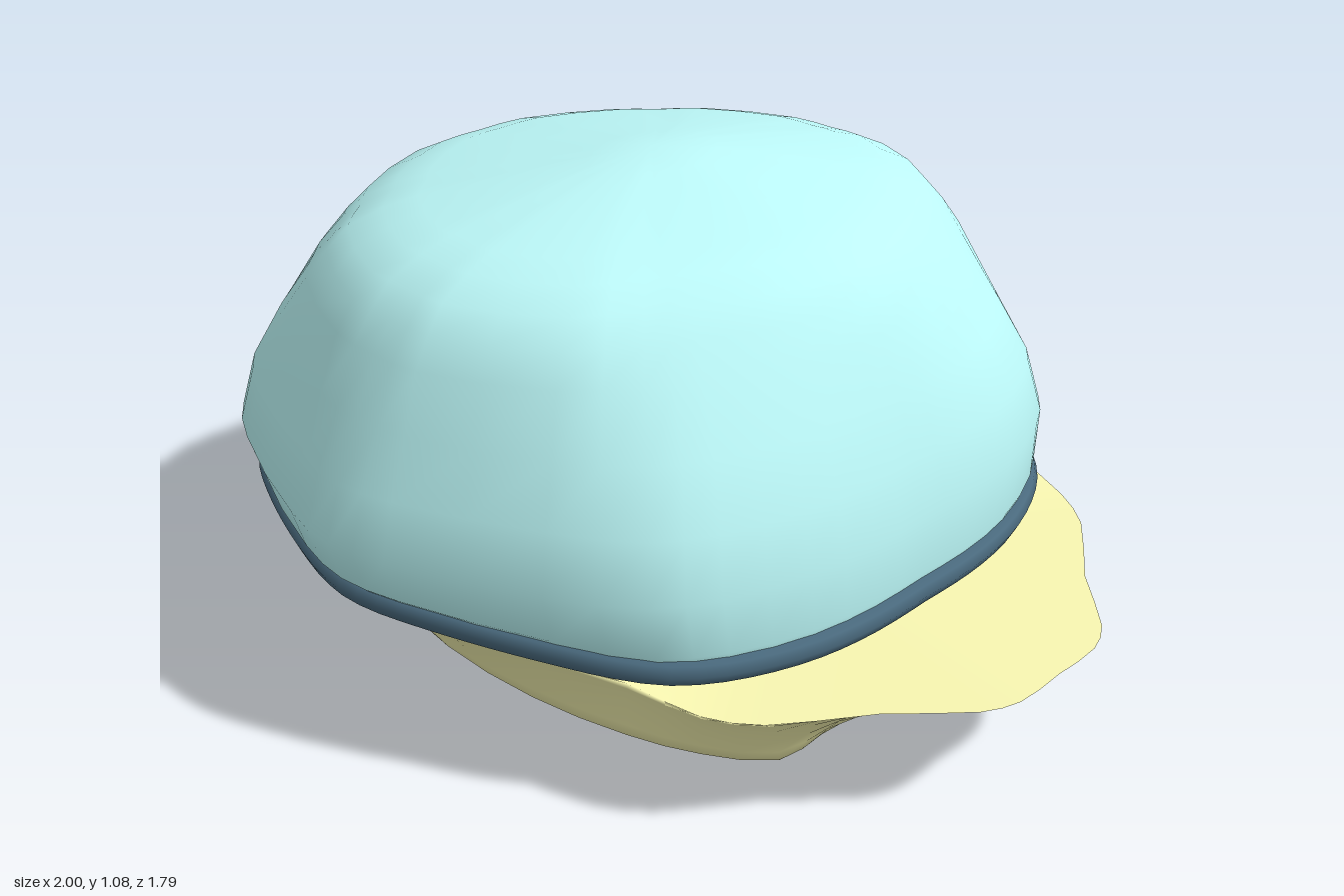
import * as THREE from 'three';

const V = (x, y, z) => new THREE.Vector3(x, y, z);
const CX = -0.12; // widest point of the shell along x
const SIDES = 52;

// Mirror a half outline (from -x over +z to +x) and round it into a closed ring
function ring(half) {
  const pts = half.map(p => V(...p));
  for (let i = half.length - 2; i > 0; i--) pts.push(V(half[i][0], half[i][1], -half[i][2]));
  const curve = new THREE.CatmullRomCurve3(pts, true, 'centripetal');
  return Array.from({ length: SIDES }, (_, i) => curve.getPoint(i / SIDES));
}

// Skin a stack of rings listed from bottom to top, with optional end points
function loft(rings, bottom, top) {
  const pos = [], idx = [], n = SIDES;
  rings.flat().forEach(p => pos.push(p.x, p.y, p.z));
  for (let j = 0; j < rings.length - 1; j++) {
    for (let i = 0; i < n; i++) {
      const a = j * n + i, b = j * n + (i + 1) % n;
      idx.push(a, b, b + n, a, b + n, a + n);
    }
  }
  const cap = (p, start, up) => {
    const c = pos.length / 3;
    pos.push(p.x, p.y, p.z);
    for (let i = 0; i < n; i++) {
      const a = start + i, b = start + (i + 1) % n;
      idx.push(c, up ? a : b, up ? b : a);
    }
  };
  if (bottom) cap(bottom, 0, false);
  if (top) cap(top, (rings.length - 1) * n, true);
  const g = new THREE.BufferGeometry();
  g.setAttribute('position', new THREE.Float32BufferAttribute(pos, 3));
  g.setIndex(idx);
  g.computeVertexNormals();
  return g;
}

// Widest outline of the shell, (x, z)
const OUTLINE = [[-1, 0], [-0.97, 0.18], [-0.86, 0.52], [-0.77, 0.66], [-0.62, 0.75], [-0.28, 0.87],
  [-0.12, 0.895], [0.02, 0.865], [0.33, 0.73], [0.5, 0.62], [0.58, 0.5], [0.64, 0.32], [0.66, 0.15], [0.66, 0]];

// Outline scaled to the given reach: rounder higher up, and dipping at the rim towards +x
function shellRing([y, left, right, z], dip) {
  const roundness = 2 * THREE.MathUtils.smoothstep(y, 0.6, 1);
  return ring(OUTLINE.map(([px, pz]) => {
    const u = (px - CX) / (px < CX ? 0.88 : 0.78), w = pz / 0.895;
    const k = Math.hypot(u, w) ** -roundness;
    const x = CX + u * k * (px < CX ? CX - left : right - CX);
    const drop = 0.05 * Math.max(0, (x - CX) / 0.78) ** 1.5;
    return [x, y - dip * drop, w * k * z];
  }));
}

// Levels of the dome: y, left reach, right reach, half depth
const LEVELS = [
  [0.36, -0.94, 0.645, 0.84], [0.39, -0.967, 0.658, 0.872], [0.48, -1, 0.653, 0.897],
  [0.6, -0.968, 0.62, 0.86], [0.72, -0.915, 0.575, 0.805], [0.84, -0.86, 0.515, 0.75],
  [0.9, -0.815, 0.477, 0.705], [0.95, -0.765, 0.435, 0.66], [0.985, -0.69, 0.37, 0.585],
  [1.008, -0.61, 0.3, 0.51], [1.04, -0.4, 0.15, 0.34], [1.067, -0.24, 0.01, 0.16]];

// Upper edge of the belly, running out into the lip
const EDGE = [[-0.94, 0.345, 0], [-0.91, 0.345, 0.2], [-0.8, 0.345, 0.5], [-0.7, 0.345, 0.63], [-0.5, 0.35, 0.74],
  [-0.12, 0.35, 0.84], [0.2, 0.335, 0.75], [0.45, 0.3, 0.635], [0.6, 0.277, 0.59], [0.7, 0.272, 0.52],
  [0.83, 0.27, 0.34], [0.96, 0.27, 0.205], [0.995, 0.27, 0.125], [0.995, 0.27, 0]];
// Lower corner of the belly, matching the edge point for point
const CORNER = [[-0.76, 0.085, 0], [-0.75, 0.09, 0.18], [-0.68, 0.1, 0.4], [-0.58, 0.105, 0.5], [-0.42, 0.11, 0.57],
  [-0.12, 0.11, 0.625], [0.15, 0.11, 0.62], [0.38, 0.112, 0.575], [0.53, 0.112, 0.515], [0.65, 0.11, 0.42],
  [0.655, 0.11, 0.3], [0.655, 0.11, 0.2], [0.655, 0.11, 0.1], [0.655, 0.11, 0]];

function bellyRings() {
  const bx = -0.27;
  // Shallow keel: rounded towards -x, nearly straight towards +x
  const keel = s => ring(CORNER.map(([x, y, z]) => {
    const power = 1.2 + 0.85 * (1 - (x - bx) / Math.hypot(x - bx, z));
    return [bx + (x - bx) * s, y * s ** Math.min(power, 2.9), z * s];
  }));
  // Slightly hollow flank between corner and edge
  const flank = t => ring(CORNER.map((c, i) => {
    const p = c.map((v, k) => v + (EDGE[i][k] - v) * t);
    p[1] += 0.08 * t * (1 - t);
    return p;
  }));
  return [0.15, 0.35, 0.6, 0.8, 0.93].map(keel).concat([0, 0.12, 0.3, 0.55, 0.8, 1].map(flank));
}

export function createModel() {
  const model = new THREE.Group();
  const add = (name, geometry, color) => {
    const mesh = new THREE.Mesh(geometry, new THREE.MeshStandardMaterial({ color, side: THREE.DoubleSide }));
    mesh.name = name;
    model.add(mesh);
  };

  // Domed shell, its lower edge following the rim
  const dome = LEVELS.map(l => shellRing(l, THREE.MathUtils.clamp((0.48 - l[0]) / 0.12, 0, 1)));
  add('shell', loft(dome, null, V(CX, 1.08, 0)), 0xbcf8f8);

  // Rim band around the shell
  const rimPath = new THREE.CatmullRomCurve3(shellRing([0.361, -0.945, 0.648, 0.843], 1), true);
  add('rim', new THREE.TubeGeometry(rimPath, 104, 0.03, 8, true), 0x4a6a7e);

  // Belly with the flat-topped lip
  add('belly', loft(bellyRings(), V(-0.27, 0, 0), V(0.3, 0.27, 0)), 0xf7f5b0);

  return model;
}
